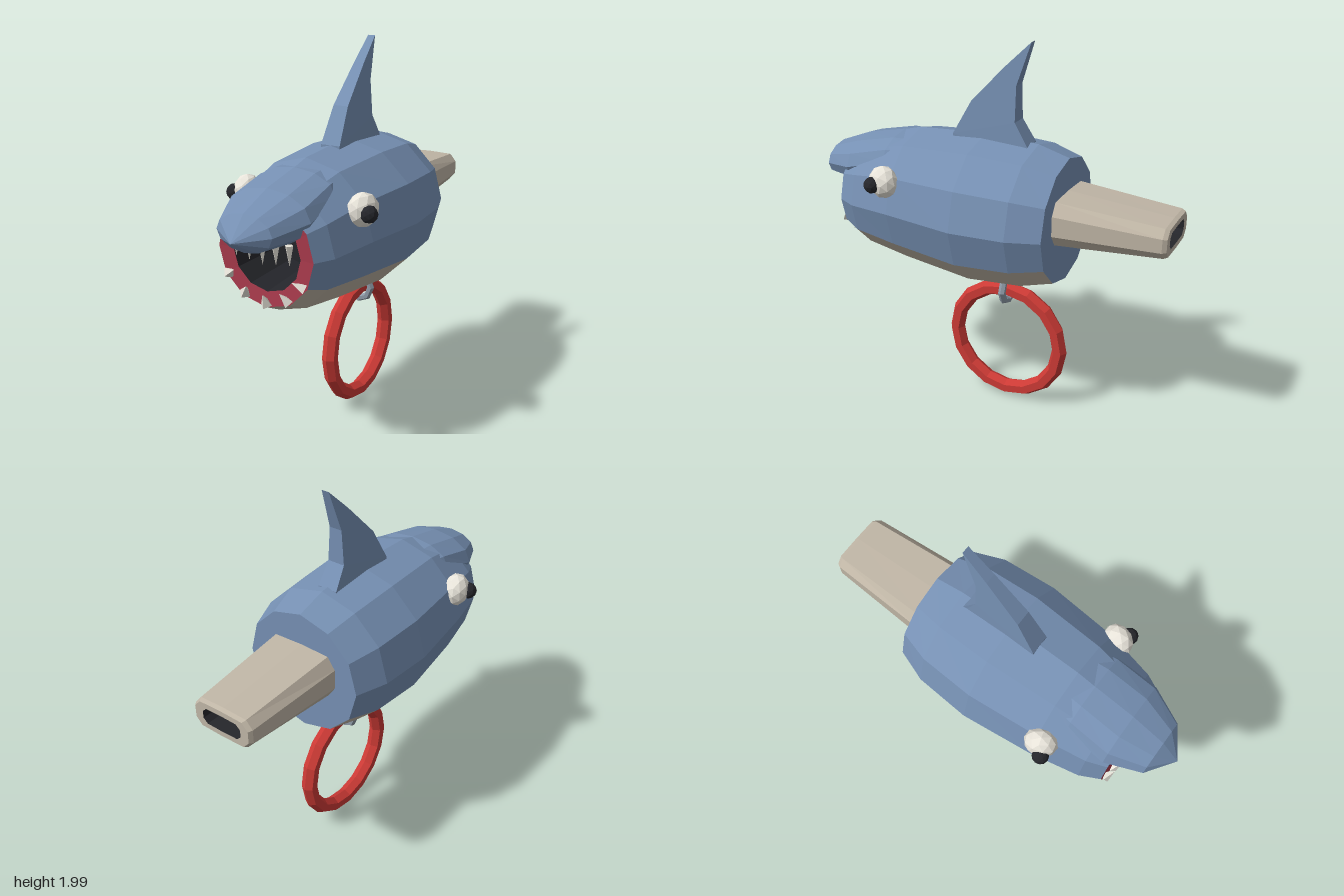
import * as THREE from 'three';

const mat = (color, extra = {}) => {
  const m = new THREE.MeshStandardMaterial({ flatShading: true, ...extra });
  m.color.set(color);
  return m;
};
const BLUE = mat(0x7690b3), BEIGE = mat(0xc0b6a6), RED = mat(0xcc3a35), GUM = mat(0xa83a4c);
const DARK = mat(0x25262b), WHITE = mat(0xe8e4da), STEEL = mat(0x8c98a5);

// Elliptical ring of points; a = 0 is the top, running towards +x
function ring(z, cy, rx, ry, from = 0, to = 12) {
  const pts = [];
  for (let i = from; i <= to; i++) {
    const a = i * Math.PI / 6;
    pts.push([Math.sin(a) * rx, cy + Math.cos(a) * ry, z]);
  }
  return pts;
}

// Skin across a list of equal-length rings
function loft(rings) {
  const n = rings[0].length, index = [];
  for (let i = 0; i < rings.length - 1; i++) {
    for (let j = 0; j < n - 1; j++) {
      const a = i * n + j, b = a + 1, d = a + n, c = d + 1;
      index.push(a, d, b, b, d, c);
    }
  }
  const g = new THREE.BufferGeometry();
  g.setAttribute('position', new THREE.Float32BufferAttribute(rings.flat(2), 3));
  g.setIndex(index);
  g.computeVertexNormals();
  return g;
}

export function createModel() {
  const model = new THREE.Group();
  const add = (name, geo, material, parent = model) => {
    const m = new THREE.Mesh(geo, material);
    m.name = name;
    parent.add(m);
    return m;
  };

  // Body: blue back and sides, pale belly, flat rear
  const stations = [
    [-0.435, 1.125, 0.325, 0.325], [-0.27, 1.125, 0.385, 0.37], [0.02, 1.12, 0.405, 0.39],
    [0.4, 1.127, 0.365, 0.358], [0.65, 1.11, 0.31, 0.308], [0.75, 1.11, 0.26, 0.26],
  ];
  add('bodyBack', loft(stations.map(s => ring(...s, -4, 4))), BLUE);
  add('belly', loft(stations.map(s => ring(...s, 4, 8))), BEIGE);
  add('rearPlate', loft([ring(-0.435, 1.125, 0, 0), ring(...stations[0])]), BLUE);

  // Mouth: gum ring and dark throat
  add('gums', loft([ring(0.75, 1.11, 0.26, 0.26), ring(0.74, 1.11, 0.185, 0.185)]), GUM);
  add('throat', loft([ring(0.74, 1.11, 0.185, 0.185), ring(0.42, 1.11, 0.16, 0.16),
    ring(0.42, 1.11, 0, 0)]), DARK);

  // Snout
  add('snout', loft([
    ring(0.35, 1.36, 0.2, 0.1), ring(0.5, 1.345, 0.225, 0.115), ring(0.72, 1.282, 0.23, 0.13),
    ring(0.9, 1.25, 0.15, 0.09), ring(1.0, 1.23, 0, 0),
  ]), BLUE);

  // Teeth
  const tooth = (name, x, y, z, dir, r, h) => {
    const m = add(name, new THREE.ConeGeometry(r, h, 4), WHITE);
    m.position.set(x, y, z);
    m.quaternion.setFromUnitVectors(new THREE.Vector3(0, 1, 0), dir.normalize());
  };
  for (let i = -2; i <= 2; i++) {
    const x = i * 0.073;
    tooth('upperTooth', x, 1.115 + Math.abs(i) * 0.008, 0.77, new THREE.Vector3(0, -1, 0), 0.022, 0.1);
    const a = i * 0.51;
    tooth('lowerTooth', Math.sin(a) * 0.217, 1.11 - Math.cos(a) * 0.217, 0.765,
      new THREE.Vector3(-Math.sin(a), Math.cos(a), 0.5), 0.03, 0.065);
  }

  // Eyes
  for (const s of [1, -1]) {
    const eye = new THREE.Group();
    eye.name = s > 0 ? 'leftEye' : 'rightEye';
    const ball = add('eyeball', new THREE.IcosahedronGeometry(0.085, 1), WHITE, eye);
    ball.position.set(s * 0.325, 1.285, 0.43);
    ball.scale.set(0.8, 1, 1);
    ball.rotation.y = s * -0.3;
    const pupil = add('pupil', new THREE.IcosahedronGeometry(0.043, 1), DARK, eye);
    pupil.position.set(s * 0.377, 1.28, 0.465);
    model.add(eye);
  }

  // Dorsal fin: side outline, thinner towards the tip
  const outline = [[0.18, 1.46], [0.18, 1.5], [0.08, 1.68], [-0.1, 1.87], [-0.23, 1.995],
    [-0.16, 1.78], [-0.16, 1.6], [-0.23, 1.49], [-0.23, 1.44]];
  const fin = new THREE.ExtrudeGeometry(
    new THREE.Shape(outline.map(([z, y]) => new THREE.Vector2(-z, y))),
    { depth: 2, bevelEnabled: false });
  fin.translate(0, 0, -1).rotateY(Math.PI / 2);
  const p = fin.attributes.position;
  for (let i = 0; i < p.count; i++) {
    const t = Math.min(1, Math.max(0, (p.getY(i) - 1.5) / 0.495));
    p.setX(i, p.getX(i) * (0.053 - 0.033 * t));
  }
  fin.computeVertexNormals();
  add('dorsalFin', fin, BLUE);

  // Flattened mouthpiece with a hollow end
  const half = [[0, 0.08], [0.135, 0.076], [0.17, 0.035], [0.17, -0.035], [0.135, -0.076], [0, -0.08]];
  const oval = (z, kx, ky) => [...half, ...half.slice(1, -1).reverse().map(([x, y]) => [-x, y]), half[0]]
    .map(([x, y]) => [x * kx, 1.165 + y * ky, z]);
  add('mouthpiece', loft([oval(-0.99, 0.66, 0.55), oval(-0.99, 0.93, 0.9),
    oval(-0.97, 1, 1), oval(-0.42, 1.18, 1.5)]), BEIGE);
  add('mouthpieceHole', loft([oval(-0.8, 0, 0), oval(-0.8, 0.6, 0.5), oval(-0.99, 0.66, 0.55)]), DARK);

  // Steel link and hanging ring
  const link = add('link', new THREE.TorusGeometry(0.073, 0.02, 6, 8), STEEL);
  link.position.set(0, 0.667, -0.11);
  const hoop = add('hangingRing', new THREE.TorusGeometry(0.308, 0.042, 6, 16), RED);
  hoop.rotation.y = Math.PI / 2;
  hoop.position.set(0, 0.355, -0.11);

  return model;
}
